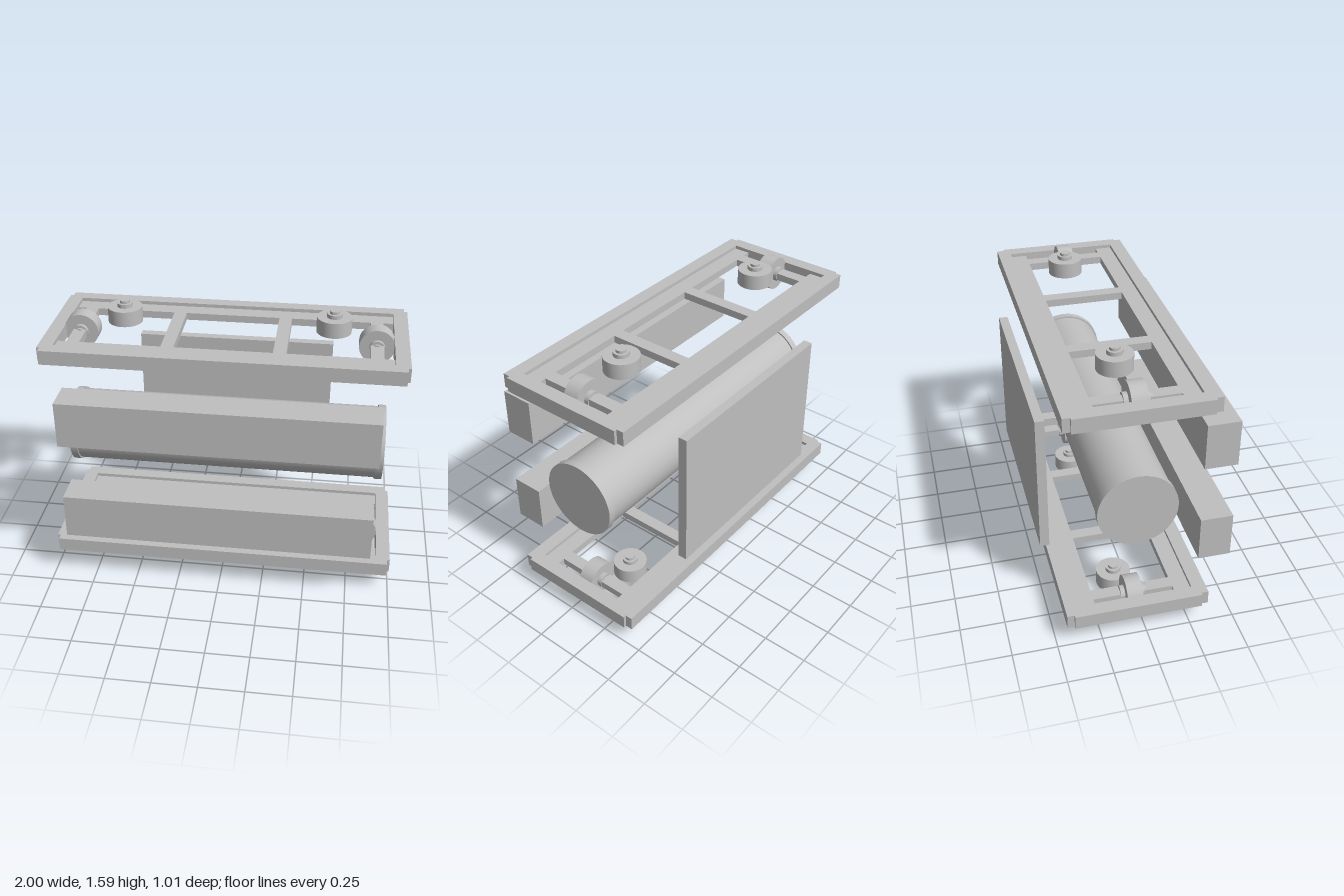
import * as THREE from 'three';
import { toCreasedNormals } from 'three/addons/utils/BufferGeometryUtils.js';

const grey = new THREE.MeshStandardMaterial({ color: 0xbfbfbf });
grey.name = 'plain grey';

function add(parent, name, geometry, x = 0, y = 0, z = 0) {
  const mesh = new THREE.Mesh(geometry, grey);
  mesh.name = name;
  mesh.position.set(x, y, z);
  parent.add(mesh);
  return mesh;
}

// Box given by its limits on each axis
function addBox(parent, name, [x0, x1], [y0, y1], [z0, z1]) {
  return add(parent, name, new THREE.BoxGeometry(x1 - x0, y1 - y0, z1 - z0),
    (x0 + x1) / 2, (y0 + y1) / 2, (z0 + z1) / 2);
}

// Roller with a stepped hub: bored at the bottom, spigot on top
function rollerGeometry() {
  const profile = [
    [0, 0.015], [0.028, 0.015], [0.028, 0], [0.043, 0], [0.043, 0.025], [0.098, 0.025],
    [0.098, 0.113], [0.043, 0.113], [0.043, 0.135], [0.028, 0.135], [0.028, 0.15], [0, 0.15],
  ].map(([r, y]) => new THREE.Vector2(r, y));
  return toCreasedNormals(new THREE.LatheGeometry(profile, 40), 0.6);
}

// Rim outline with notched corners and a rectangular hole
function rimGeometry(height) {
  const x = 1, z0 = -0.44, z1 = 0.355, nx = 0.017, nz = 0.04;
  const shape = new THREE.Shape([
    [-x + nx, z0], [x - nx, z0], [x - nx, z0 + nz], [x, z0 + nz],
    [x, z1 - nz], [x - nx, z1 - nz], [x - nx, z1], [-x + nx, z1],
    [-x + nx, z1 - nz], [-x, z1 - nz], [-x, z0 + nz], [-x + nx, z0 + nz],
  ].map(([a, b]) => new THREE.Vector2(a, b)));
  shape.holes.push(new THREE.Path([
    [-0.92, -0.365], [-0.92, 0.275], [0.92, 0.275], [0.92, -0.365],
  ].map(([a, b]) => new THREE.Vector2(a, b))));
  const geometry = new THREE.ExtrudeGeometry(shape, { depth: height, bevelEnabled: false });
  geometry.rotateX(Math.PI / 2);
  geometry.translate(0, height, 0);
  return geometry;
}

// Frame with ledges, cross bars and four rollers; its base is at y = 0
function makeFrame(name) {
  const frame = new THREE.Group();
  frame.name = name;
  const web = [0.02, 0.062];
  add(frame, 'frameRim', rimGeometry(0.082));
  addBox(frame, 'backLedge', [-0.92, 0.92], web, [-0.365, -0.27]);
  addBox(frame, 'frontLedge', [-0.92, 0.92], web, [0.18, 0.275]);
  for (const x of [-0.835, -0.31, 0.305, 0.828]) {
    addBox(frame, 'crossBar', [x - 0.036, x + 0.036], web, [-0.27, 0.18]);
  }
  const roller = rollerGeometry();
  for (const side of [-1, 1]) {
    add(frame, 'flatRoller', roller, side * 0.59 - 0.004, -0.112, -0.088);
    add(frame, 'uprightRoller', roller, side * 0.831 - 0.004, 0.041, -0.114)
      .rotation.x = Math.PI / 2;
  }
  return frame;
}

export function createModel() {
  const model = new THREE.Group();
  model.name = 'explodedAssembly';

  // Lower and upper frames; the upper rollers sit above their frame
  const lower = makeFrame('lowerFrame');
  lower.position.y = 0.112;
  const upper = makeFrame('upperFrame');
  upper.position.y = 1.378;
  for (const part of upper.children) {
    if (part.name === 'flatRoller') part.position.y = 0.058;
  }
  model.add(lower, upper);

  // Drum with a collar at each end
  const drum = new THREE.Group();
  drum.name = 'drum';
  drum.position.set(0, 0.788, -0.04);
  drum.rotation.z = -Math.PI / 2;
  add(drum, 'drumBody', new THREE.CylinderGeometry(0.209, 0.209, 1.76, 64));
  for (const side of [-1, 1]) {
    add(drum, 'drumCollar', new THREE.CylinderGeometry(0.218, 0.218, 0.042, 64), 0, side * 0.894, 0);
  }
  model.add(drum);

  // Front blocks and back panel
  addBox(model, 'upperBlock', [-0.876, 0.872], [0.958, 1.226], [0.323, 0.506]);
  addBox(model, 'lowerBlock', [-0.876, 0.872], [0.35, 0.617], [0.323, 0.506]);
  addBox(model, 'backPanel', [-0.595, 0.587], [0.375, 1.2], [-0.506, -0.454]);
  return model;
}
